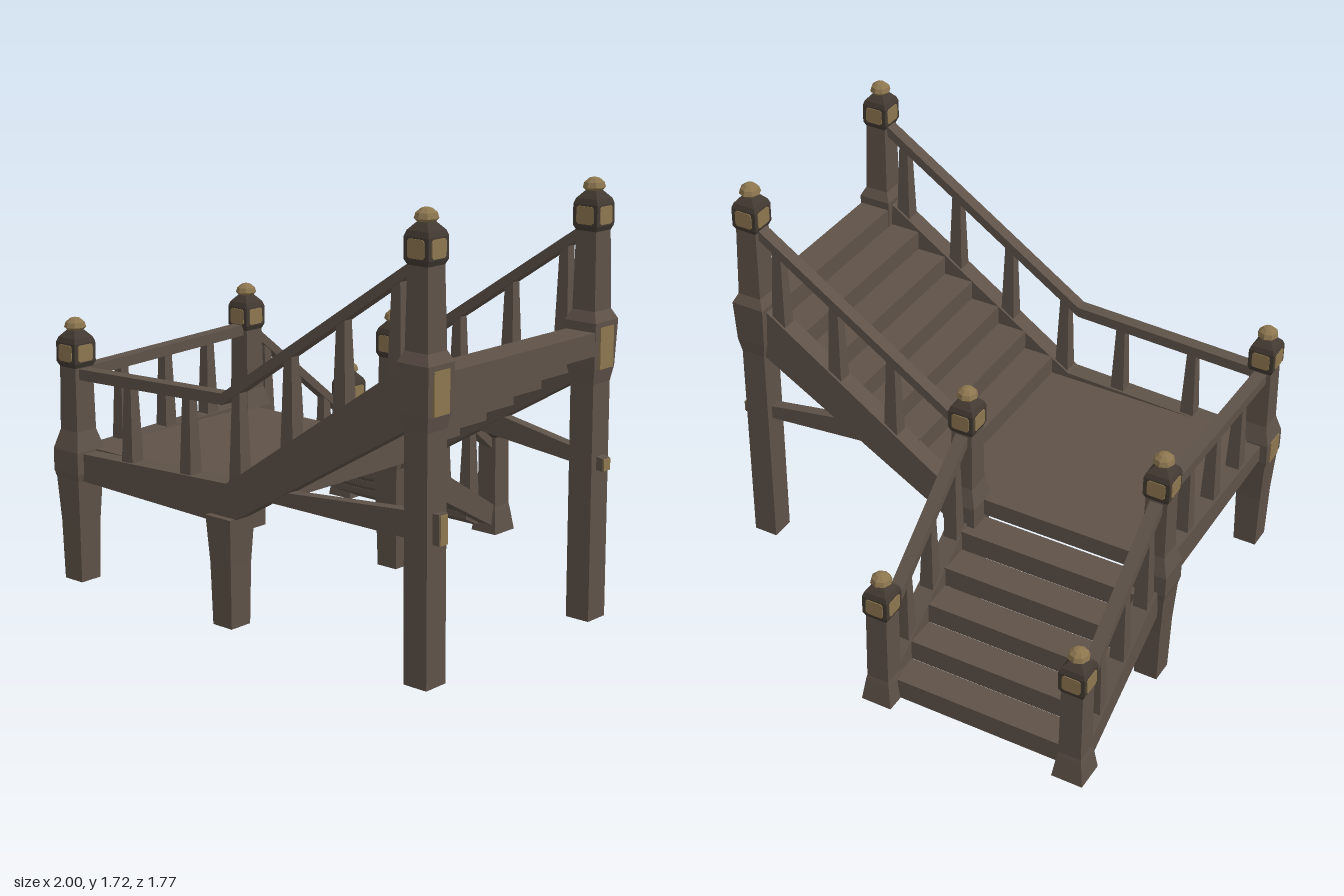
import * as THREE from 'three';

export function createModel() {
  const model = new THREE.Group();
  model.name = 'corner staircase';
  const mat = (name, color) => {
    const m = new THREE.MeshStandardMaterial({ color });
    m.name = name;
    return m;
  };
  const wood = mat('brown wood', 0x5e5248);
  const darkWood = mat('dark wood', 0x433a32);
  const brass = mat('dull brass', 0x8c764f);

  const add = (name, geo, material, parent = model) => {
    const mesh = new THREE.Mesh(geo, material);
    mesh.name = name;
    parent.add(mesh);
    return mesh;
  };
  const facet = (geo) => {
    const g = geo.toNonIndexed();
    g.computeVertexNormals();
    return g;
  };
  const box = (name, x0, x1, y0, y1, z0, z1, m = wood) =>
    add(name, new THREE.BoxGeometry(x1 - x0, y1 - y0, z1 - z0), m)
      .position.set((x0 + x1) / 2, (y0 + y1) / 2, (z0 + z1) / 2);

  // Square turned solid: profile of [half width, height], bottom to top
  const square = (profile) => {
    const pts = profile.map(([r, y]) => new THREE.Vector2(r * Math.SQRT2, y));
    return facet(new THREE.LatheGeometry(pts, 4).rotateY(Math.PI / 4));
  };

  // Flat polygon given width; along 'x' it uses (x, y), along 'z' it uses (z, y)
  const slab = (name, axis, at, width, points) => {
    const shape = new THREE.Shape(points.map(([u, v]) => new THREE.Vector2(u, v)));
    const geo = new THREE.ExtrudeGeometry(shape, { depth: width, bevelEnabled: false });
    geo.translate(0, 0, -width / 2);
    if (axis === 'z') geo.rotateY(-Math.PI / 2);
    const mesh = add(name, geo, wood);
    mesh.position[axis === 'x' ? 'z' : 'x'] = at;
  };

  // Height of a polyline at u
  const heightAt = (line, u) => {
    for (let i = 0; i < line.length - 1; i++) {
      const [a, b] = [line[i], line[i + 1]];
      if (u >= Math.min(a[0], b[0]) && u <= Math.max(a[0], b[0]))
        return a[1] + (b[1] - a[1]) * (u - a[0]) / (b[0] - a[0]);
    }
    return line[line.length - 1][1];
  };

  // Stringer, handrail and tapered balusters for one side
  const side = (name, axis, at, top, bottom, rail, balusters) => {
    slab(name + ' stringer', axis, at, 0.08, [...bottom, ...[...top].reverse()]);
    const railBottom = rail.map(([u, v]) => [u, v - 0.045]);
    slab(name + ' handrail', axis, at, 0.055, [...railBottom, ...[...rail].reverse()]);
    for (const u of balusters) {
      const y0 = heightAt(top, u) - 0.03, y1 = heightAt(rail, u) - 0.02;
      const b = add(name + ' baluster', square([[0, y0], [0.031, y0], [0.019, y1], [0, y1]]), wood);
      if (axis === 'x') b.position.set(u, 0, at);
      else b.position.set(at, 0, u);
    }
  };

  // Newel post with framed head, cap and domed finial
  const post = (name, x, z, top, lower) => {
    const g = new THREE.Group();
    g.name = name;
    g.position.set(x, 0, z);
    model.add(g);
    add('shaft', square([...lower, [0.046, top - 0.2], [0, top - 0.2]]), wood, g);
    const h = top - 0.2;
    add('head', square([[0, h], [0.046, h], [0.055, h + 0.02], [0.055, h + 0.1],
      [0.048, h + 0.12], [0.022, h + 0.15], [0.02, h + 0.16], [0, h + 0.16]]), darkWood, g);
    const w = 0.038, t = 0.034, c = 0.008;
    const outline = new THREE.Shape([[-w, -t + c], [-w + c, -t], [w - c, -t], [w, -t + c],
      [w, t - c], [w - c, t], [-w + c, t], [-w, t - c]].map((p) => new THREE.Vector2(...p)));
    for (let i = 0; i < 4; i++) {
      const geo = new THREE.ExtrudeGeometry(outline, { depth: 0.004, bevelEnabled: false });
      geo.translate(0, h + 0.06, 0.0545).rotateY(i * Math.PI / 2);
      add('head plate', geo, brass, g);
    }
    const dome = [[0, 0.15], [0.034, 0.15], [0.044, 0.16], [0.038, 0.18], [0.02, 0.195], [0, 0.2]];
    add('finial', facet(new THREE.LatheGeometry(
      dome.map(([r, y]) => new THREE.Vector2(r, h + y)), 8)), brass, g);
    return g;
  };

  const landingLower = [[0, 0], [0.05, 0], [0.055, 0.25], [0.065, 0.43], [0.072, 0.46],
    [0.072, 0.55], [0.05, 0.63]];
  const tallLower = [[0, 0], [0.053, 0], [0.053, 0.94], [0.064, 1.0], [0.072, 1.18], [0.052, 1.22]];
  const footLower = [[0, 0], [0.066, 0], [0.052, 0.1], [0.048, 0.12]];
  const L = -0.92, C = -0.07, R = 0.91, F = 0.81, B = -0.16, K = -0.82;
  post('front right landing post', L, F, 1.09, landingLower);
  post('back right landing post', L, B, 1.09, landingLower);
  post('inner corner post', C, B, 1.09, landingLower);
  post('front top post', R, F, 1.72, tallLower);
  post('back top post', R, B, 1.72, tallLower);
  post('outer foot post', L, K, 0.63, footLower);
  post('inner foot post', C, K, 0.63, footLower);

  // Short leg under the bend of the front stringer
  add('front middle leg', square([[0, 0], [0.05, 0], [0.055, 0.25], [0.066, 0.44], [0, 0.44]]), wood)
    .position.set(-0.06, 0, F);

  // Landing
  box('landing deck', -0.9, 0.05, 0.475, 0.55, -0.15, 0.78);

  // Upper flight: solid steps rising toward +x
  for (let i = 0; i < 7; i++) {
    const x = 0.04 + 0.134 * i, y = 0.632 + 0.0855 * i;
    box('upper step', x, x + 0.134, y - 0.09, y, -0.125, 0.775);
  }

  // Lower flight: wedge steps falling toward -z
  const stepSlab = (z, y) => {
    const shape = [[z - 0.134, Math.max(0, y - 0.09)], [z, y - 0.025], [z, y], [z - 0.134, y]];
    slab('lower step', 'z', -0.495, 0.78, shape);
  };
  for (let i = 0; i < 5; i++) stepSlab(-0.14 - 0.134 * i, 0.457 - 0.091 * i);

  // Sides of the landing and upper flight
  side('front', 'x', F,
    [[L, 0.54], [-0.04, 0.572], [0.02, 0.61], [R, 1.205]],
    [[L, 0.43], [-0.04, 0.41], [R, 0.965]],
    [[L, 0.885], [-0.07, 0.915], [R, 1.56]], [-0.6, -0.27, 0, 0.27, 0.53, 0.79]);
  side('upper back', 'x', B,
    [[C, 0.56], [0.02, 0.61], [R, 1.205]],
    [[C, 0.41], [0, 0.435], [R, 0.965]],
    [[C, 0.915], [R, 1.56]], [0.27, 0.53, 0.79]);
  side('landing', 'z', L,
    [[B, 0.57], [F, 0.54]], [[B, 0.44], [F, 0.47]],
    [[B, 0.915], [F, 0.885]], [0.57, 0.325, 0.08]);

  // Sides of the lower flight
  for (const x of [L, C])
    side('lower flight', 'z', x,
      [[K, 0.1], [B, 0.515]], [[K, 0.005], [-0.2, 0.35], [B, 0.375]],
      [[K, 0.39], [B, 0.92]], [-0.27, -0.46, -0.65]);

  // Braces through the tall legs
  slab('front brace', 'x', F, 0.045, [[-0.02, 0.535], [0.992, 0.535], [0.992, 0.65], [-0.02, 0.565]]);
  slab('back brace', 'x', B, 0.045, [[0.35, 0.665], [0.992, 0.6], [0.992, 0.65], [0.35, 0.765]]);
  box('front brace end', 0.991, 0.998, 0.535, 0.645, F - 0.02, F + 0.02, brass);
  box('back brace end', 0.991, 0.998, 0.602, 0.648, B - 0.02, B + 0.02, brass);

  // Plates on the outer faces of the thick post blocks
  for (const z of [F, B]) box('post plate', R + 0.066, R + 0.075, 1.0, 1.16, z - 0.042, z + 0.042, brass);
  box('post plate', L - 0.077, L - 0.07, 0.45, 0.55, F - 0.042, F + 0.042, brass);

  return model;
}
